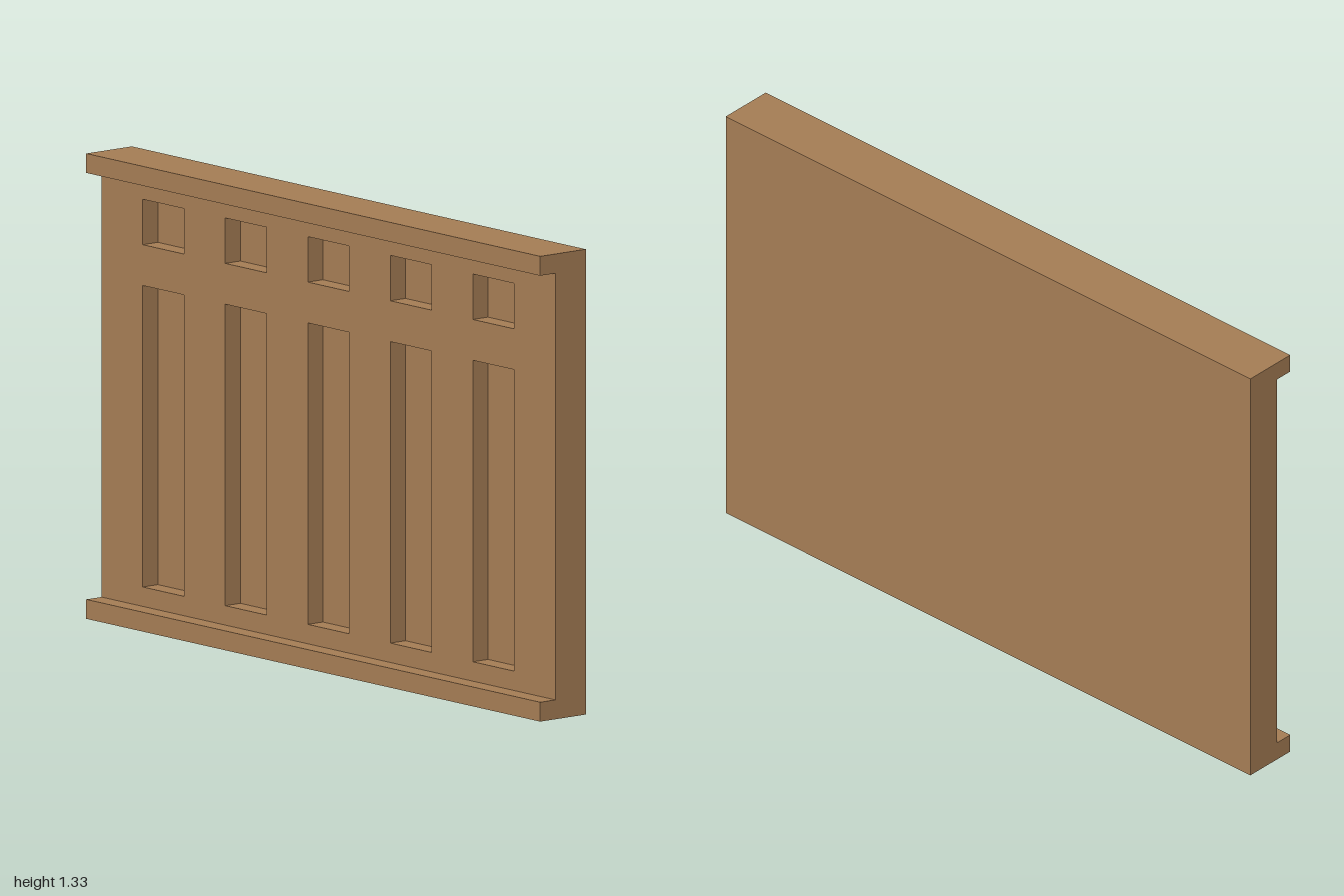
import * as THREE from 'three';

const T = 1 / 18;             // thickness of one layer
const H = 4 / 3;              // height
const L = 2;                  // length along z
const SLOTS = 5;
const W = L / (2 * SLOTS + 1); // slot width equals the bars between

const polygon = (Type, pts) => new Type(pts.map(([x, y]) => new THREE.Vector2(x, y)));
const rect = (Type, x0, y0, x1, y1) =>
  polygon(Type, [[x0, y0], [x1, y0], [x1, y1], [x0, y1]]);

export function createModel() {
  const group = new THREE.Group();
  group.name = 'slottedPanel';
  const wood = new THREE.MeshStandardMaterial({ color: 0xa47c54, flatShading: true });

  const add = (name, geometry) => {
    const mesh = new THREE.Mesh(geometry, wood);
    mesh.name = name;
    group.add(mesh);
  };

  // Backing board with a projecting rail along the top and the bottom
  const section = polygon(THREE.Shape, [
    [-1.5 * T, 0], [1.5 * T, 0], [1.5 * T, H], [-1.5 * T, H],
    [-1.5 * T, H - T], [0.5 * T, H - T], [0.5 * T, T], [-1.5 * T, T],
  ]);
  const board = new THREE.ExtrudeGeometry(section, { depth: L, bevelEnabled: false });
  board.translate(0, 0, -L / 2);
  add('boardWithRails', board);

  // Facing sheet between the rails: tall slots with a small opening above each
  const sheet = rect(THREE.Shape, -L / 2, T, L / 2, H - T);
  for (let i = 0; i < SLOTS; i++) {
    const z = -L / 2 + W * (2 * i + 1);
    sheet.holes.push(rect(THREE.Path, z, 2 * T, z + W, 0.975));
    sheet.holes.push(rect(THREE.Path, z, 1.092, z + W, H - 2 * T));
  }
  const facing = new THREE.ExtrudeGeometry(sheet, { depth: T, bevelEnabled: false });
  facing.rotateY(-Math.PI / 2);
  facing.translate(0.5 * T, 0, 0);
  add('slottedFacing', facing);

  return group;
}
